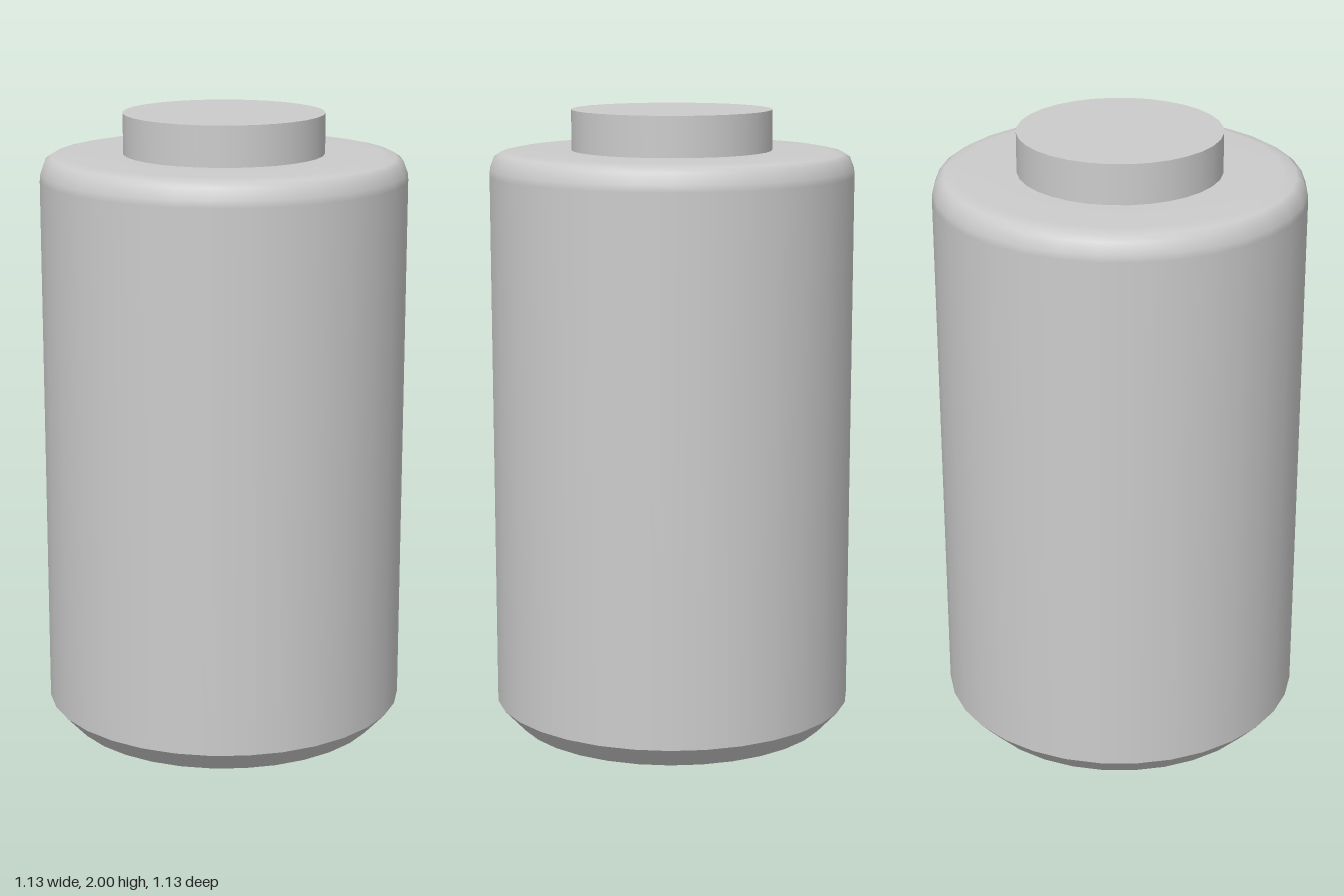
import * as THREE from 'three';

const SIDES = 32;

export function createModel() {
  const group = new THREE.Group();
  group.name = 'battery';
  const material = new THREE.MeshStandardMaterial({ color: 0xcccccc });

  const add = (name, geometry, y = 0) => {
    const mesh = new THREE.Mesh(geometry, material);
    mesh.name = name;
    mesh.position.y = y;
    group.add(mesh);
  };
  // Turned part from [radius, height] pairs, bottom to top
  const turned = (name, profile) =>
    add(name, new THREE.LatheGeometry(profile.map(([r, y]) => new THREE.Vector2(r, y)), SIDES));

  // Bottom: shallow dished base, then a chamfer with a crisp edge on both sides
  turned('base', [[0, 0], [0.31, 0], [0.5, 0.055]]);
  turned('baseChamfer', [[0.5, 0.055], [0.565, 0.125]]);

  // Straight casing with a softly rounded shoulder
  turned('casing', [
    [0.565, 0.125], [0.565, 1.8], [0.563, 1.82], [0.55, 1.855],
    [0.53, 1.868], [0.49, 1.876], [0.31, 1.876], [0, 1.876],
  ]);

  // Raised contact on top
  add('terminal', new THREE.CylinderGeometry(0.31, 0.31, 0.125, SIDES), 1.9375);

  return group;
}
